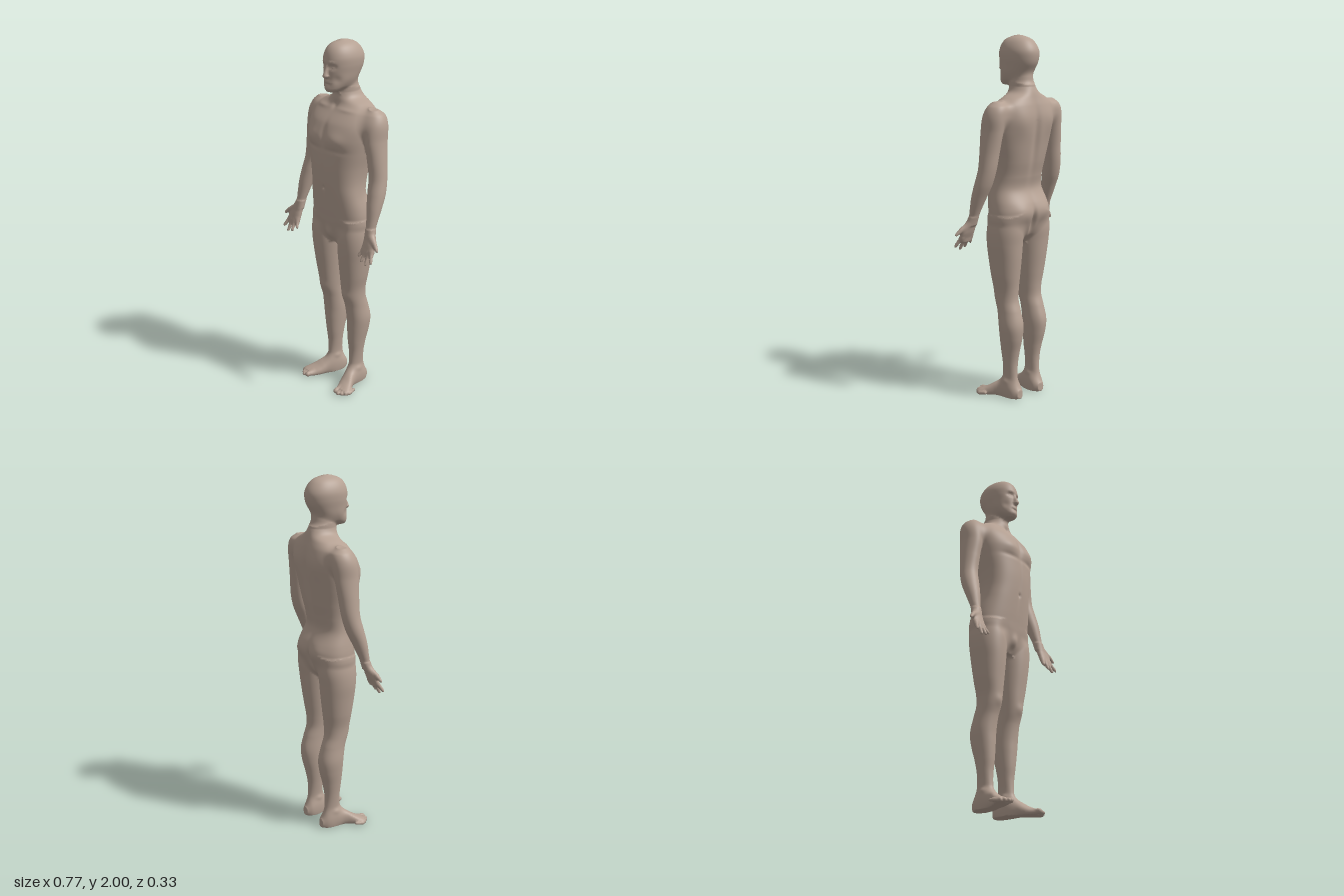
import * as THREE from 'three';
import { mergeVertices } from 'three/addons/utils/BufferGeometryUtils.js';

// The skin is a smooth blend of lofted limbs, tapered capsules and soft muscle bumps,
// written for the +x side and mirrored through |x|, then meshed on a regular grid.

const STEP = 0.0085;
const clamp01 = (t) => Math.min(1, Math.max(0, t));
const ramp = (a, b, v) => { const t = clamp01((v - a) / (b - a)); return t * t * (3 - 2 * t); };
const blend = (a, b, k) => { const h = Math.max(k - Math.abs(a - b), 0) / k; return Math.min(a, b) - h * h * k / 4; };

// Cross-sections [t, centre x, half width, high side, low side], splined along t
function loft(n, rows) {
  const N = rows.length, first = rows[0][0], last = rows[N - 1][0];
  const slope = (i, c) => {
    const a = rows[Math.max(i - 1, 0)], b = rows[Math.min(i + 1, N - 1)];
    return (b[c] - a[c]) / (b[0] - a[0]);
  };
  let cached = NaN;
  const ring = [0, 0, 0, 0, 0];
  return (t, x, w) => {
    const out = Math.max(first - t, t - last);
    if (out > 0.08) return 1;
    if (t !== cached) {
      cached = t;
      const c = Math.min(last, Math.max(first, t));
      let i = 0;
      while (i < N - 2 && rows[i + 1][0] < c) i++;
      const h = rows[i + 1][0] - rows[i][0], s = (c - rows[i][0]) / h, s2 = s * s, s3 = s2 * s;
      for (let q = 1; q < 5; q++) {
        ring[q] = rows[i][q] * (2 * s3 - 3 * s2 + 1) + rows[i + 1][q] * (3 * s2 - 2 * s3)
          + h * (slope(i, q) * (s3 - 2 * s2 + s) + slope(i + 1, q) * (s3 - s2));
      }
    }
    const dx = Math.abs(x - ring[1]), dw = Math.abs(w - (ring[3] + ring[4]) / 2);
    const rw = Math.max((ring[3] - ring[4]) / 2, 0.002), rx = Math.max(ring[2], 0.002);
    const k = Math.pow(Math.pow(dx / rx, n) + Math.pow(dw / rw, n), 1 / n);
    const d = k < 0.05 ? -Math.min(rx, rw) : (1 - 1 / k) * Math.hypot(dx, dw);
    return Math.max(d, out);
  };
}

// Tapered capsule from a to b
function capsule(a, b, ra, rb) {
  const d = [b[0] - a[0], b[1] - a[1], b[2] - a[2]], dd = d[0] * d[0] + d[1] * d[1] + d[2] * d[2];
  return (x, y, z) => {
    const px = x - a[0], py = y - a[1], pz = z - a[2];
    const t = clamp01((px * d[0] + py * d[1] + pz * d[2]) / dd);
    return Math.hypot(px - d[0] * t, py - d[1] * t, pz - d[2] * t) - ra - (rb - ra) * t;
  };
}

const skull = loft(2.15, [
  [1.735, 0, 0.028, 0.088, 0.03], [1.75, 0, 0.045, 0.096, 0], [1.77, 0, 0.06, 0.097, -0.05],
  [1.8, 0, 0.073, 0.096, -0.09], [1.84, 0, 0.081, 0.097, -0.125], [1.88, 0, 0.087, 0.098, -0.139],
  [1.92, 0, 0.086, 0.095, -0.139], [1.96, 0, 0.07, 0.078, -0.117], [1.985, 0, 0.046, 0.048, -0.085],
  [2, 0, 0.012, 0, -0.035]]);
const neck = loft(2, [
  [1.58, 0, 0.08, 0.02, -0.13], [1.7, 0, 0.062, 0.028, -0.118], [1.76, 0, 0.06, 0.03, -0.106],
  [1.86, 0, 0.056, 0.02, -0.1]]);
const torso = loft(2.4, [
  [0.88, 0, 0.04, 0.055, -0.05], [0.93, 0, 0.12, 0.08, -0.1], [1, 0, 0.183, 0.096, -0.132],
  [1.05, 0, 0.187, 0.104, -0.143], [1.1, 0, 0.181, 0.112, -0.134], [1.18, 0, 0.165, 0.123, -0.1],
  [1.25, 0, 0.16, 0.131, -0.11], [1.33, 0, 0.168, 0.136, -0.13], [1.42, 0, 0.186, 0.135, -0.146],
  [1.5, 0, 0.2, 0.132, -0.158], [1.57, 0, 0.205, 0.108, -0.162], [1.63, 0, 0.19, 0.062, -0.153],
  [1.67, 0, 0.138, 0.03, -0.14], [1.7, 0, 0.075, 0.018, -0.128], [1.73, 0, 0.04, 0, -0.11]]);
const arm = loft(2, [
  [1.0, 0.289, 0.026, 0.073, 0.03], [1.04, 0.286, 0.026, 0.068, 0.018], [1.08, 0.283, 0.032, 0.062, 0.002],
  [1.15, 0.277, 0.042, 0.052, -0.03], [1.22, 0.268, 0.049, 0.036, -0.062], [1.3, 0.257, 0.049, 0.018, -0.083],
  [1.4, 0.243, 0.05, 0.02, -0.096], [1.5, 0.23, 0.051, 0.026, -0.11], [1.58, 0.219, 0.058, 0.018, -0.118],
  [1.63, 0.208, 0.049, -0.002, -0.11], [1.657, 0.2, 0.025, -0.025, -0.08]]);
const palm = loft(2.3, [
  [0.905, 0.304, 0.034, 0.1, 0.072], [0.925, 0.305, 0.043, 0.1, 0.066], [0.96, 0.304, 0.044, 0.091, 0.05],
  [1.0, 0.295, 0.034, 0.078, 0.036], [1.04, 0.287, 0.026, 0.068, 0.022]]);
const leg = loft(2.1, [
  [0, 0.088, 0.034, 0.02, -0.1], [0.08, 0.09, 0.033, 0.018, -0.094], [0.13, 0.09, 0.031, 0.008, -0.086],
  [0.2, 0.09, 0.037, 0.006, -0.086], [0.27, 0.091, 0.046, 0.013, -0.098], [0.35, 0.094, 0.056, 0.018, -0.117],
  [0.42, 0.096, 0.061, 0.022, -0.122], [0.5, 0.094, 0.058, 0.034, -0.104], [0.56, 0.093, 0.058, 0.052, -0.086],
  [0.62, 0.093, 0.062, 0.062, -0.086], [0.7, 0.098, 0.073, 0.072, -0.096], [0.8, 0.102, 0.083, 0.084, -0.109],
  [0.88, 0.105, 0.09, 0.09, -0.117], [0.95, 0.106, 0.089, 0.09, -0.124], [1.03, 0.108, 0.075, 0.08, -0.12]]);
const foot = loft(2.2, [
  [-0.11, 0.085, 0.022, 0.05, 0.005], [-0.08, 0.086, 0.036, 0.08, -0.012], [-0.03, 0.092, 0.037, 0.098, -0.012],
  [0.03, 0.105, 0.041, 0.085, -0.012], [0.08, 0.128, 0.049, 0.053, -0.012], [0.115, 0.145, 0.048, 0.036, -0.01],
  [0.132, 0.147, 0.04, 0.028, -0.004]]);
const nose = capsule([0, 1.872, 0.094], [0, 1.825, 0.108], 0.007, 0.014);
const fingers = [
  capsule([0.336, 0.932, 0.084], [0.358, 0.884, 0.111], 0.012, 0.009),
  capsule([0.316, 0.925, 0.085], [0.322, 0.865, 0.113], 0.012, 0.009),
  capsule([0.295, 0.925, 0.084], [0.287, 0.875, 0.112], 0.012, 0.009),
  capsule([0.275, 0.935, 0.08], [0.257, 0.895, 0.102], 0.011, 0.009),
  capsule([0.312, 1.0, 0.06], [0.35, 0.975, 0.074], 0.017, 0.013),
  capsule([0.35, 0.975, 0.074], [0.376, 0.951, 0.084], 0.013, 0.009)];
const toes = [[0.124, 0.15, 0.015], [0.148, 0.155, 0.011], [0.165, 0.143, 0.011], [0.179, 0.127, 0.01], [0.19, 0.106, 0.01]]
  .map(([x, z, r]) => capsule([x - 0.005, 0.018, z - 0.04], [x, r, z], r, r));

// Muscle and face relief: [x, y, z, spread x, y, z, height]
const face = [
  [0.033, 1.872, 0.095, 0.019, 0.012, 0.03, -0.012], [0.033, 1.87, 0.09, 0.01, 0.006, 0.02, 0.006],
  [0.03, 1.896, 0.1, 0.025, 0.008, 0.02, 0.004], [0, 1.793, 0.1, 0.022, 0.007, 0.02, 0.006],
  [0, 1.78, 0.1, 0.02, 0.006, 0.02, -0.004], [0, 1.756, 0.095, 0.02, 0.012, 0.02, 0.005],
  [0.05, 1.805, 0.07, 0.018, 0.022, 0.03, -0.005], [0.014, 1.823, 0.105, 0.007, 0.007, 0.012, 0.003]];
const body = [
  [0.085, 1.495, 0.13, 0.06, 0.04, 0.05, 0.012], [0.08, 1.437, 0.14, 0.07, 0.014, 0.05, -0.005],
  [0, 1.5, 0.13, 0.018, 0.08, 0.05, -0.008], [0, 1.27, 0.13, 0.012, 0.11, 0.04, -0.005],
  [0, 1.215, 0.125, 0.01, 0.012, 0.03, -0.007], [0.1, 1.645, 0.045, 0.06, 0.01, 0.03, 0.005],
  [0, 1.66, 0.035, 0.018, 0.02, 0.03, -0.008], [0, 1.42, -0.15, 0.024, 0.22, 0.05, -0.016],
  [0.1, 1.55, -0.15, 0.05, 0.07, 0.05, 0.009], [0.085, 1.055, -0.13, 0.055, 0.05, 0.05, 0.013],
  [0, 0.99, -0.14, 0.014, 0.06, 0.06, -0.026], [0, 0.945, 0.075, 0.02, 0.03, 0.03, 0.017],
  [0.1, 0.99, 0.095, 0.03, 0.03, 0.03, -0.005], [0.093, 0.58, 0.055, 0.025, 0.028, 0.03, 0.007],
  [0.075, 0.43, -0.11, 0.025, 0.06, 0.04, 0.004], [0.122, 0.095, -0.03, 0.014, 0.014, 0.02, 0.005],
  [0.058, 0.105, -0.03, 0.014, 0.014, 0.02, 0.005]];

// Distance to each named body part
function partFields(x, y, z) {
  const f = { head: 1, torso: torso(y, x, z), arm: 1, leg: leg(y, x, z) };
  if (y > 1.5) {
    f.head = y > 1.7 ? blend(skull(y, x, z), nose(x, y, z), 0.012) : 1;
    f.head = blend(f.head, neck(y, x, z), 0.025);
  }
  if (y > 0.8 && x > 0.1) {
    f.arm = arm(y, x, z);
    if (y < 1.12) {
      let tips = 1;
      for (const g of fingers) tips = Math.min(tips, g(x, y, z));
      f.arm = blend(f.arm, blend(palm(y, x, z), tips, 0.012), 0.015);
    }
  }
  if (y < 0.2) {
    let tips = 1;
    for (const g of toes) tips = Math.min(tips, g(x, y, z));
    f.leg = Math.max(blend(f.leg, blend(foot(z, x, y), tips, 0.01), 0.035), -y);
  }
  return f;
}

function skin(sx, y, z) {
  const x = Math.abs(sx), f = partFields(x, y, z);
  let d = blend(f.torso, f.head, 0.04);
  d = blend(d, f.leg, 0.024);
  d = blend(d, f.arm, 0.008 + 0.04 * ramp(1.46, 1.58, y));
  if (Math.abs(d) < 0.06) {
    for (const b of y > 1.72 ? face : body) {
      const u = (x - b[0]) / b[3], v = (y - b[1]) / b[4], w = (z - b[2]) / b[5], q = u * u + v * v + w * w;
      if (q < 9) d -= b[6] * Math.exp(-q);
    }
  }
  return d;
}

// Place one vertex in each grid cell the skin crosses and join neighbours with quads
function meshSkin() {
  const size = [98, 242, 48], low = [-49 * STEP, -2.5 * STEP, -24 * STEP];
  const stride = [1, size[0] * size[2], size[0]];
  const at = (i, j, k) => i + j * stride[1] + k * stride[2];
  const value = new Float32Array(size[0] * size[1] * size[2]);
  for (let j = 0; j < size[1]; j++) for (let k = 0; k < size[2]; k++) for (let i = 0; i < size[0]; i++) {
    value[at(i, j, k)] = skin(low[0] + i * STEP, low[1] + j * STEP, low[2] + k * STEP);
  }
  const cell = new Int32Array(value.length).fill(-1), pos = [], nor = [], parts = {};
  for (let j = 0; j < size[1] - 1; j++) for (let k = 0; k < size[2] - 1; k++) for (let i = 0; i < size[0] - 1; i++) {
    const o = at(i, j, k), p = [0, 0, 0];
    let hits = 0;
    for (let a = 0; a < 3; a++) for (let c = 0; c < 4; c++) {
      const u = (a + 1) % 3, v = (a + 2) % 3, cu = c & 1, cv = c >> 1;
      const s = o + cu * stride[u] + cv * stride[v], v0 = value[s], v1 = value[s + stride[a]];
      if ((v0 < 0) === (v1 < 0)) continue;
      p[a] += v0 / (v0 - v1); p[u] += cu; p[v] += cv; hits++;
    }
    if (!hits) continue;
    const [x, y, z] = [i, j, k].map((g, a) => low[a] + (g + p[a] / hits) * STEP), e = 0.003;
    const n = new THREE.Vector3(skin(x + e, y, z) - skin(x - e, y, z), skin(x, y + e, z) - skin(x, y - e, z),
      skin(x, y, z + e) - skin(x, y, z - e)).normalize();
    cell[o] = pos.length / 3;
    pos.push(x, y, z);
    nor.push(n.x, n.y, n.z);
  }
  for (let j = 1; j < size[1] - 1; j++) for (let k = 1; k < size[2] - 1; k++) for (let i = 1; i < size[0] - 1; i++) {
    const o = at(i, j, k);
    for (let a = 0; a < 3; a++) {
      const inside = value[o] < 0;
      if (inside === (value[o + stride[a]] < 0)) continue;
      const su = stride[(a + 1) % 3], sv = stride[(a + 2) % 3];
      const q = [o - su - sv, o - sv, o, o - su].map((c) => cell[c]);
      if (!inside) q.reverse();
      const [x, y, z] = [0, 1, 2].map((c) => q.reduce((s, v) => s + pos[v * 3 + c] / 4, 0));
      const f = partFields(Math.abs(x), y, z);
      let name = Object.keys(f).reduce((m, key) => (f[key] < f[m] ? key : m));
      if (name === 'arm' || name === 'leg') name = (x > 0 ? 'left' : 'right') + (name === 'arm' ? 'Arm' : 'Leg');
      (parts[name] ??= []).push(q[0], q[1], q[2], q[0], q[2], q[3]);
    }
  }
  return { pos, nor, parts };
}

export function createModel() {
  const group = new THREE.Group();
  group.name = 'humanFigure';
  const skinMaterial = new THREE.MeshStandardMaterial({ color: 0xb5a193 });
  skinMaterial.name = 'skin';
  const { pos, nor, parts } = meshSkin();
  for (const [name, index] of Object.entries(parts)) {
    const shared = new THREE.BufferGeometry();
    shared.setAttribute('position', new THREE.Float32BufferAttribute(pos, 3));
    shared.setAttribute('normal', new THREE.Float32BufferAttribute(nor, 3));
    shared.setIndex(index);
    const mesh = new THREE.Mesh(mergeVertices(shared.toNonIndexed(), 1e-5), skinMaterial);
    mesh.name = name;
    group.add(mesh);
  }
  return group;
}
